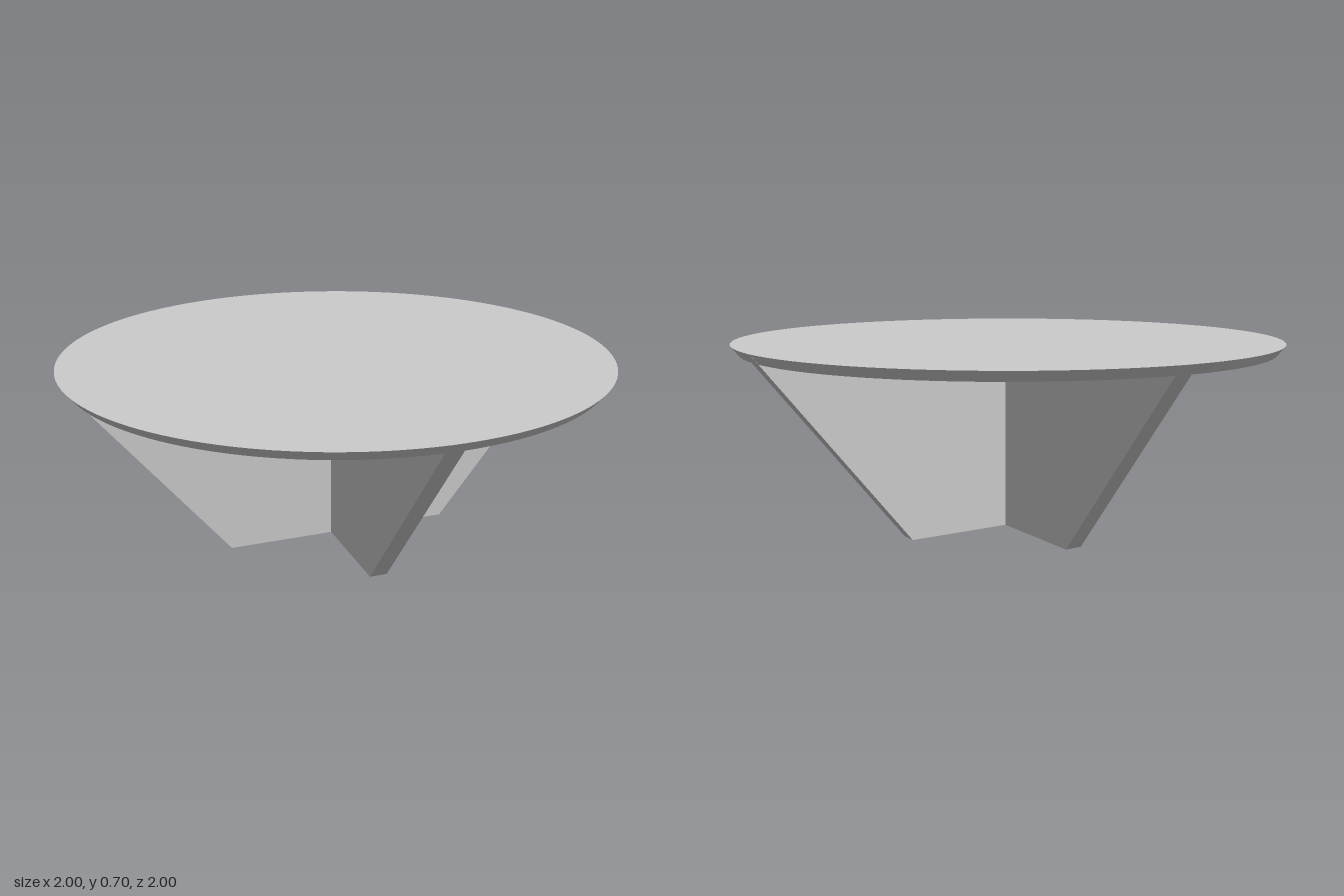
import * as THREE from 'three';

const HEIGHT = 0.7;
const TOP_THICKNESS = 0.035;
const TOP_RADIUS = 1;
const FOOT_HALF = 0.425;
const PANEL_THICKNESS = 0.064;

// half width of the sloping outline at height y
const halfWidth = (y) => FOOT_HALF + (TOP_RADIUS - FOOT_HALF) * (y / HEIGHT);

export function createModel() {
  const group = new THREE.Group();
  group.name = 'pedestalTable';
  const material = new THREE.MeshStandardMaterial({ color: 0xcccccc });

  // round top with a bevelled rim that follows the slope of the base
  const top = new THREE.Mesh(
    new THREE.CylinderGeometry(TOP_RADIUS, halfWidth(HEIGHT - TOP_THICKNESS), TOP_THICKNESS, 128),
    material
  );
  top.name = 'tableTop';
  top.position.y = HEIGHT - TOP_THICKNESS / 2;
  group.add(top);

  // two crossed trapezoid panels, running up through the rim
  const panelTop = HEIGHT - 0.0005;
  const outline = new THREE.Shape([
    new THREE.Vector2(-FOOT_HALF, 0),
    new THREE.Vector2(FOOT_HALF, 0),
    new THREE.Vector2(halfWidth(panelTop), panelTop),
    new THREE.Vector2(-halfWidth(panelTop), panelTop),
  ]);
  const panelGeometry = new THREE.ExtrudeGeometry(outline, { depth: PANEL_THICKNESS, bevelEnabled: false });
  panelGeometry.translate(0, 0, -PANEL_THICKNESS / 2);

  ['basePanelAcross', 'basePanelLengthwise'].forEach((name, i) => {
    const panel = new THREE.Mesh(panelGeometry, material);
    panel.name = name;
    panel.rotation.y = (i * Math.PI) / 2;
    group.add(panel);
  });

  return group;
}
